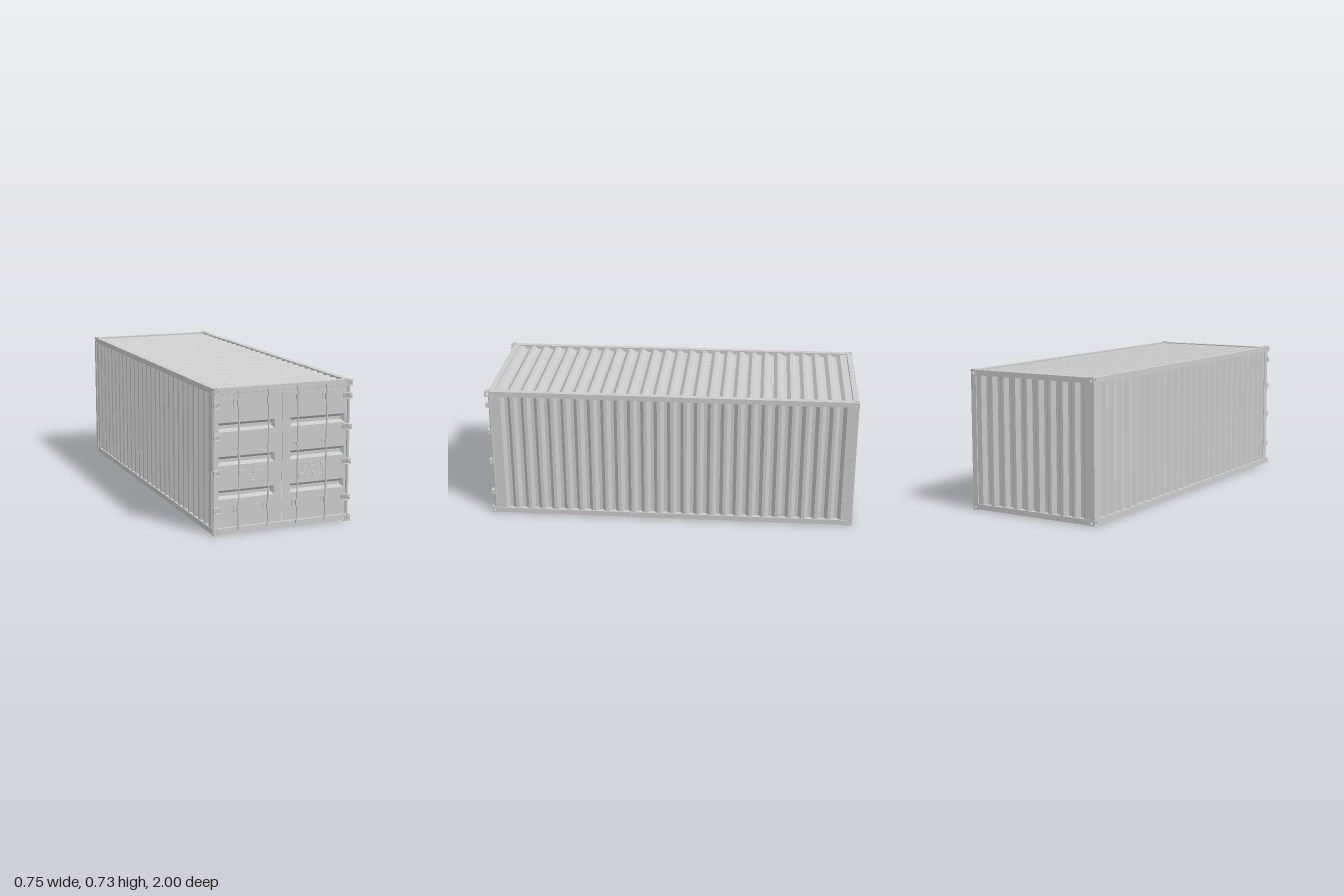
import * as THREE from 'three';

const HX = 0.375, H = 0.733, RAIL = 0.03, POST = 0.03, DOOR_Z = 0.973;
const mat = new THREE.MeshStandardMaterial({ color: 0xcccccc, flatShading: true, side: THREE.DoubleSide });
const smooth = new THREE.MeshStandardMaterial({ color: 0xcccccc });

function add(parent, name, geo, x = 0, y = 0, z = 0, material = mat) {
  const mesh = new THREE.Mesh(geo, material);
  mesh.name = name;
  mesh.position.set(x, y, z);
  parent.add(mesh);
  return mesh;
}

// box given by its minimum and maximum corners
function block(parent, name, x0, x1, y0, y1, z0, z1) {
  return add(parent, name, new THREE.BoxGeometry(x1 - x0, y1 - y0, z1 - z0),
    (x0 + x1) / 2, (y0 + y1) / 2, (z0 + z1) / 2);
}

// folded sheet: trapezoid ribs along local x, facing local +z
function corrugated(length, width, ribs, pitch, depth) {
  const pts = [[-length / 2, 0]];
  for (let k = 0; k < ribs; k++) {
    const s = (k - ribs / 2) * pitch;
    [[0.12, 0], [0.38, -depth], [0.62, -depth], [0.88, 0]].forEach(([f, h]) => pts.push([s + f * pitch, h]));
  }
  pts.push([length / 2, 0]);
  const geo = new THREE.PlaneGeometry(length, width, pts.length - 1, 1);
  const p = geo.attributes.position;
  for (let i = 0; i < p.count; i++) {
    const [u, h] = pts[i % pts.length];
    p.setX(i, u);
    p.setZ(i, h);
  }
  geo.computeVertexNormals();
  return geo;
}

function rectPath(path, x0, x1, y0, y1) {
  path.moveTo(x0, y0);
  path.lineTo(x1, y0);
  path.lineTo(x1, y1);
  path.lineTo(x0, y1);
  path.closePath();
  return path;
}

// open pocket with sloping walls and a flat bottom, sunk towards -z
function pocket(x0, x1, y0, y1, depth, inset) {
  const geo = new THREE.PlaneGeometry(1, 1, 3, 3);
  const p = geo.attributes.position;
  const xs = [x0, x0 + inset, x1 - inset, x1], ys = [y1, y1 - inset, y0 + inset, y0];
  for (let i = 0; i < 16; i++) {
    const c = i % 4, r = Math.floor(i / 4);
    const inner = c > 0 && c < 3 && r > 0 && r < 3;
    // border points away from the corners collapse onto them
    const px = r === 0 || r === 3 ? (c < 2 ? x0 : x1) : xs[c];
    const py = c === 0 || c === 3 ? (r < 2 ? y1 : y0) : ys[r];
    p.setXYZ(i, px, py, inner ? -depth : 0);
  }
  geo.computeVertexNormals();
  return geo;
}

// hollow corner block: three outer plates with oval holes
function cornerCasting(parent, sx, sy, sz) {
  const g = new THREE.Group();
  g.name = 'cornerCasting';
  const s = 0.032, t = 0.005;
  const plate = rectPath(new THREE.Shape(), -s / 2, s / 2, -s / 2, s / 2);
  const hole = new THREE.Path();
  hole.absellipse(0, 0, 0.006, 0.0095, 0, Math.PI * 2, true);
  plate.holes.push(hole);
  const geo = new THREE.ExtrudeGeometry(plate, { depth: t, bevelEnabled: false, curveSegments: 8 });
  geo.translate(0, 0, s / 2 - t);
  add(g, 'endPlate', geo).rotation.y = sz > 0 ? 0 : Math.PI;
  add(g, 'sidePlate', geo).rotation.y = sx * Math.PI / 2;
  add(g, 'flatPlate', geo).rotation.x = -sy * Math.PI / 2;
  g.position.set(sx * (HX - s / 2), sy > 0 ? H - s / 2 : s / 2, sz * (1 - s / 2));
  parent.add(g);
}

function frame(parent) {
  const g = new THREE.Group();
  g.name = 'frame';
  for (const s of [-1, 1]) {
    const xa = s > 0 ? HX - RAIL : -HX, xb = xa + RAIL;
    block(g, 'topSideRail', xa, xb, H - RAIL, H - 0.002, -0.97, 0.97);
    block(g, 'bottomSideRail', xa, xb, 0.002, RAIL, -0.97, 0.97);
    block(g, 'rearPost', xa, xb, 0.032, H - 0.032, -0.999, -0.999 + POST);
    block(g, 'frontPost', xa, xb, 0.032, H - 0.032, 0.935, 0.968);
    for (const sy of [-1, 1]) for (const sz of [-1, 1]) cornerCasting(g, s, sy, sz);
  }
  const inX = HX - RAIL;
  for (const [y0, y1] of [[0.002, RAIL], [H - RAIL, H - 0.002]]) {
    block(g, 'rearRail', -inX, inX, y0, y1, -0.998, -0.968);
    block(g, 'frontRail', -inX, inX, y0, y1, 0.95, 0.982);
  }
  parent.add(g);
}

function panels(parent) {
  const inX = HX - RAIL, midY = H / 2, wallH = H - 2 * RAIL;
  const side = corrugated(1.92, wallH, 26, 0.072, 0.02);
  side.rotateY(Math.PI / 2);
  add(parent, 'leftWall', side, HX - 0.004, midY, -0.01);
  const other = add(parent, 'rightWall', side, -HX + 0.004, midY, -0.01);
  other.rotation.y = Math.PI;
  const back = corrugated(inX * 2, wallH, 9, 0.072, 0.02);
  back.rotateY(Math.PI);
  add(parent, 'rearWall', back, 0, midY, -0.993);
  const roof = corrugated(1.93, inX * 2, 26, 0.072, 0.016);
  roof.rotateZ(Math.PI / 2).rotateX(-Math.PI / 2);
  add(parent, 'roof', roof, 0, H - 0.008, 0);
  const floor = corrugated(1.93, inX * 2, 26, 0.072, 0.02);
  floor.rotateZ(Math.PI / 2).rotateX(Math.PI / 2);
  add(parent, 'floor', floor, 0, 0.008, 0);
}

// clamp holding a lock rod against the door
function rodBracket(parent, x, y, w, h) {
  const g = new THREE.Group();
  g.name = 'rodBracket';
  block(g, 'plate', -w / 2, w / 2, -h / 2, h / 2, 0, 0.004);
  block(g, 'clamp', -0.008, 0.008, -h / 2 + 0.002, h / 2 - 0.002, 0.004, 0.019);
  if (w > 0.03) for (const bx of [-1, 1]) for (const by of [-1, 1]) {
    const bolt = add(g, 'bolt', new THREE.CylinderGeometry(0.002, 0.002, 0.003, 6), bx * w * 0.38, by * h * 0.3, 0.005);
    bolt.rotation.x = Math.PI / 2;
  }
  g.position.set(x, y, DOOR_Z);
  parent.add(g);
}

// lever running from its rod at x0 to its tip at x1
function handle(parent, x0, x1, y) {
  const g = new THREE.Group();
  g.name = 'doorHandle';
  const d = Math.sign(x1 - x0), len = Math.abs(x1 - x0);
  const lever = new THREE.Shape();
  lever.moveTo(0, -0.005);
  lever.lineTo(len * 0.5, -0.005);
  lever.lineTo(len, -0.002);
  lever.lineTo(len, 0.002);
  lever.lineTo(len * 0.5, 0.004);
  lever.lineTo(0, 0.004);
  lever.closePath();
  const geo = new THREE.ExtrudeGeometry(lever, { depth: 0.005, bevelEnabled: false });
  add(g, 'lever', geo, 0, 0, d > 0 ? 0.01 : 0.015).rotation.y = d > 0 ? 0 : Math.PI;
  const at = f => d * len * f;
  add(g, 'hub', new THREE.BoxGeometry(0.026, 0.02, 0.014), at(0.1), 0, 0.01);
  add(g, 'catchPlate', new THREE.BoxGeometry(0.012, 0.02, 0.012), at(0.63), 0, 0.006);
  add(g, 'catchHook', new THREE.BoxGeometry(0.02, 0.006, 0.018), at(0.63), 0, 0.009);
  g.position.set(x0, y, DOOR_Z);
  parent.add(g);
}

function door(parent, s) {
  const g = new THREE.Group();
  g.name = s > 0 ? 'leftDoor' : 'rightDoor';
  const span = (a, b) => s > 0 ? [a, b] : [-b, -a];
  const shape = rectPath(new THREE.Shape(), ...span(0.001, 0.358), 0.033, 0.7);
  for (const y of [0.175, 0.345, 0.513]) {
    const area = [...span(0.042, 0.346), y, y + 0.045];
    shape.holes.push(rectPath(new THREE.Path(), ...area));
    add(g, 'doorRecess', pocket(...area, 0.016, 0.014), 0, 0, DOOR_Z);
  }
  add(g, 'doorPanel', new THREE.ShapeGeometry(shape), 0, 0, DOOR_Z);

  // lock rods with their clamps
  for (const x of [0.08, 0.239]) {
    const rod = new THREE.CylinderGeometry(0.0045, 0.0045, 0.695, 10);
    add(g, 'lockRod', rod, s * x, 0.368, DOOR_Z + 0.012, smooth);
    const outer = x > 0.1;
    rodBracket(g, s * x, 0.655, outer ? 0.048 : 0.018, 0.036);
    rodBracket(g, s * x, 0.428, outer || s > 0 ? 0.048 : 0.03, 0.016);
    rodBracket(g, s * x, 0.122, 0.048, 0.036);
    for (const y of [0.026, 0.708]) add(g, 'rodCam', new THREE.BoxGeometry(0.014, 0.016, 0.012), s * x, y, 0.986);
  }
  handle(g, s * 0.235, s * 0.106, 0.308);
  handle(g, s * 0.087, s * 0.219, 0.262);

  // hinge pipe and tapered hinge leaves
  add(g, 'hingePipe', new THREE.CylinderGeometry(0.008, 0.008, 0.665, 12), s * 0.366, H / 2, DOOR_Z + 0.001, smooth);
  const leaf = new THREE.Shape();
  leaf.moveTo(s * 0.332, -0.009);
  leaf.lineTo(s * 0.352, -0.015);
  leaf.lineTo(s * 0.375, -0.013);
  leaf.lineTo(s * 0.375, 0.013);
  leaf.lineTo(s * 0.352, 0.015);
  leaf.lineTo(s * 0.332, 0.011);
  leaf.closePath();
  const leafGeo = new THREE.ExtrudeGeometry(leaf, { depth: 0.022, bevelEnabled: false });
  // thin the inner end so the leaf wedges into the door
  const p = leafGeo.attributes.position;
  for (let i = 0; i < p.count; i++)
    if (Math.abs(p.getX(i)) < 0.34 && p.getZ(i) > 0.01) p.setZ(i, 0.008);
  for (const y of [0.125, 0.313, 0.492, 0.651]) add(g, 'hinge', leafGeo, 0, y, DOOR_Z + 0.002);
  parent.add(g);
}

export function createModel() {
  const model = new THREE.Group();
  model.name = 'shippingContainer';
  frame(model);
  panels(model);
  for (const s of [-1, 1]) door(model, s);
  return model;
}
